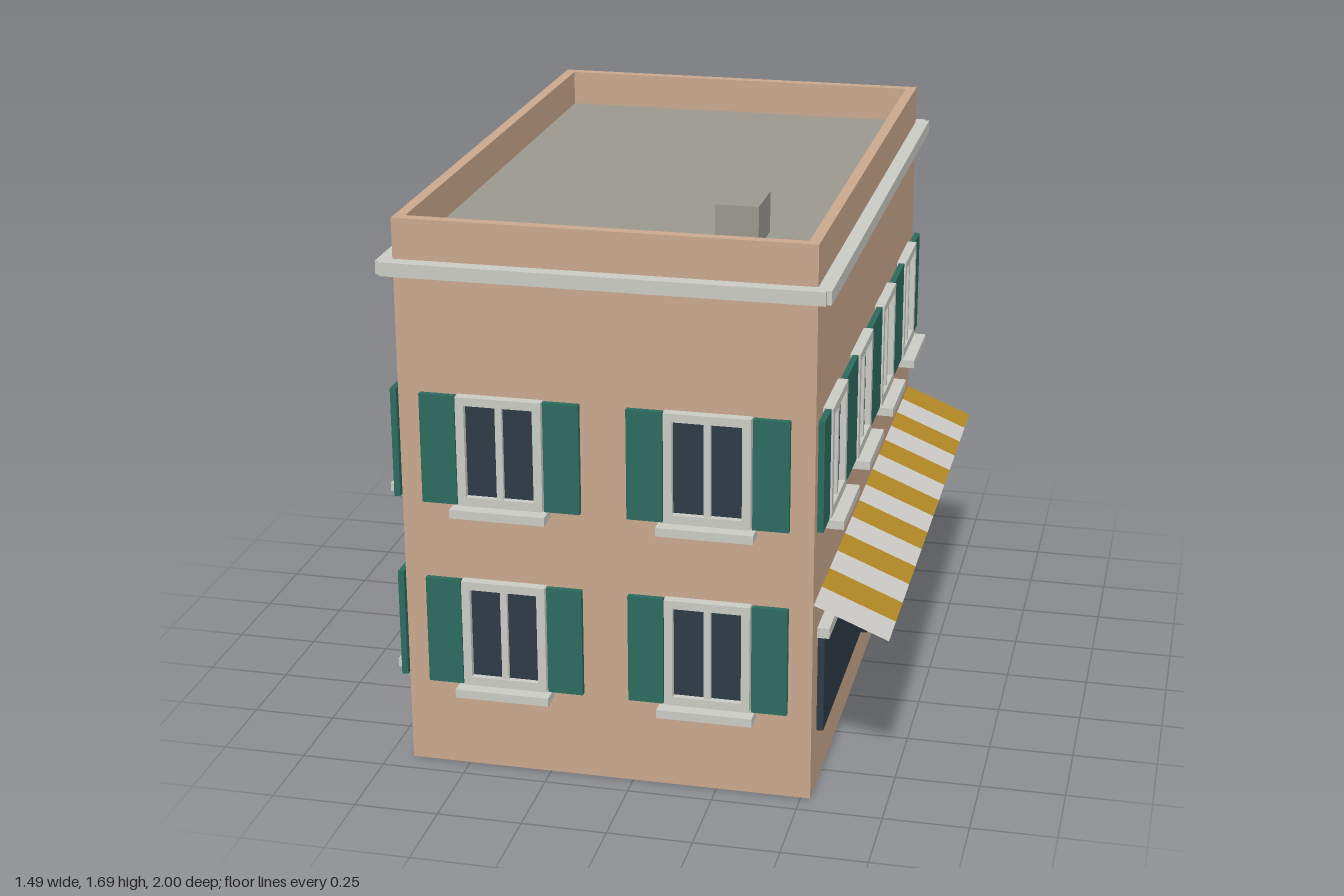
import * as THREE from 'three';

const mat = (name, color, side = THREE.FrontSide) => {
  const m = new THREE.MeshStandardMaterial({ color, side });
  m.name = name;
  return m;
};

export function createModel() {
  const wall = mat('wall plaster', 0xc9a78c, THREE.DoubleSide);
  const stone = mat('pale stone', 0xcacac5);
  const green = mat('shutter green', 0x2b6a5d);
  const glass = mat('dark glass', 0x2d3a47);
  const roofGrey = mat('roof grey', 0x9a978e, THREE.DoubleSide);
  const doorBlack = mat('door black', 0x2e2e2e);
  const gold = mat('awning gold', 0xb38825, THREE.DoubleSide);
  const white = mat('awning white', 0xcccbc7, THREE.DoubleSide);

  const W = 1.205, D = 1.86, CX = -0.0745; // footprint and its x offset
  const ROOF = 1.565, TOP = 1.675;

  const model = new THREE.Group();
  model.name = 'building';

  const add = (parent, name, geometry, material) => {
    const mesh = new THREE.Mesh(geometry, material);
    mesh.name = name;
    parent.add(mesh);
    return mesh;
  };
  // box given by its extents on each axis
  const box = (parent, name, material, x0, x1, y0, y1, z0, z1) => {
    const mesh = add(parent, name, new THREE.BoxGeometry(x1 - x0, y1 - y0, z1 - z0), material);
    mesh.position.set((x0 + x1) / 2, (y0 + y1) / 2, (z0 + z1) / 2);
    return mesh;
  };

  // thin outer walls, open at top and bottom
  const shell = new THREE.BoxGeometry(W, ROOF, D);
  const faces = Array.from(shell.index.array);
  shell.setIndex([...faces.slice(0, 12), ...faces.slice(24)]);
  shell.clearGroups();
  add(model, 'walls', shell, wall).position.set(CX, ROOF / 2, 0);

  // parapet ring
  const rect = (target, w, d) => {
    target.moveTo(-w / 2, -d / 2);
    target.lineTo(w / 2, -d / 2);
    target.lineTo(w / 2, d / 2);
    target.lineTo(-w / 2, d / 2);
    target.closePath();
    return target;
  };
  const ring = rect(new THREE.Shape(), W, D);
  ring.holes.push(rect(new THREE.Path(), W - 0.064, D - 0.064));
  const parapet = new THREE.ExtrudeGeometry(ring, { depth: TOP - ROOF, bevelEnabled: false });
  parapet.rotateX(-Math.PI / 2);
  add(model, 'parapet', parapet, wall).position.set(CX, ROOF, 0);

  // flat roof and rooftop box
  const roof = new THREE.PlaneGeometry(W - 0.06, D - 0.06).rotateX(-Math.PI / 2);
  add(model, 'roof', roof, roofGrey).position.set(CX, ROOF + 0.001, 0);
  box(model, 'roofVent', roofGrey, 0.18, 0.306, ROOF, 1.686, 0.475, 0.643);

  // one window in wall space: x along the wall, z outwards
  const addWindow = (parent, x, y) => {
    const g = new THREE.Group();
    g.name = 'window';
    g.position.set(x, y, 0);
    parent.add(g);
    const h = 0.33, back = -0.003, out = 0.03;
    box(g, 'glass', glass, -0.12, 0.12, 0.01, h - 0.01, back, 0.012);
    box(g, 'frameBottom', stone, -0.125, 0.125, 0, 0.027, back, out);
    box(g, 'frameTop', stone, -0.125, 0.125, h - 0.025, h, back, out);
    box(g, 'mullion', stone, -0.01, 0.01, 0.027, h - 0.025, back, 0.025);
    box(g, 'sill', stone, -0.14, 0.14, -0.026, 0, 0.001, 0.068);
    for (const s of [-1, 1]) {
      const a = s * 0.1125, b = s * 0.181;
      box(g, 'frameSide', stone, a - 0.0125, a + 0.0125, 0.027, h - 0.025, back, out);
      box(g, 'shutter', green, b - 0.052, b + 0.052, 0, h, 0.007, 0.025);
    }
  };

  // four walls, each with its cornice and windows
  const upper = 0.84, lower = 0.272;
  const sides = [
    { name: 'front', angle: 0, width: W, dist: D / 2, count: 2, floors: [lower, upper] },
    { name: 'left', angle: Math.PI / 2, width: D, dist: W / 2, count: 4, floors: [upper] },
    { name: 'back', angle: Math.PI, width: W, dist: D / 2, count: 2, floors: [lower, upper] },
    { name: 'right', angle: -Math.PI / 2, width: D, dist: W / 2, count: 4, floors: [lower, upper] },
  ];
  const groups = {};
  for (const { name, angle, width, dist, count, floors } of sides) {
    const g = new THREE.Group();
    g.name = name + 'Facade';
    g.rotation.y = angle;
    g.position.set(CX + Math.sin(angle) * dist, 0, Math.cos(angle) * dist);
    model.add(g);
    groups[name] = g;
    const half = width / 2 + 0.028;
    box(g, 'cornice', stone, -half, half, 1.516, 1.556, 0, 0.042);
    for (const y of floors) {
      for (let i = 0; i < count; i++) addWindow(g, ((i + 0.5) / count - 0.5) * width, y);
    }
  }

  // shop front on the left side
  const shop = groups.left;
  box(shop, 'shopWindow', glass, -0.843, 0.843, 0.178, 0.484, -0.003, 0.02);
  box(shop, 'shopDoor', doorBlack, -0.073, 0.073, 0.136, 0.483, 0.008, 0.026);
  box(shop, 'shopLintel', stone, -0.862, 0.862, 0.483, 0.514, 0.001, 0.036);

  // striped sloping awning
  const stripes = 14, step = D / stripes;
  const y0 = 0.615, y1 = 0.526, reach = 0.2165;
  for (let i = 0; i < stripes; i++) {
    const sheet = new THREE.PlaneGeometry(step, Math.hypot(reach, y0 - y1));
    sheet.rotateX(-Math.atan2(reach, y0 - y1));
    const mesh = add(shop, 'awningStripe', sheet, i % 2 ? gold : white);
    mesh.position.set(-D / 2 + (i + 0.5) * step, (y0 + y1) / 2, reach / 2 + 0.001);
  }

  return model;
}
